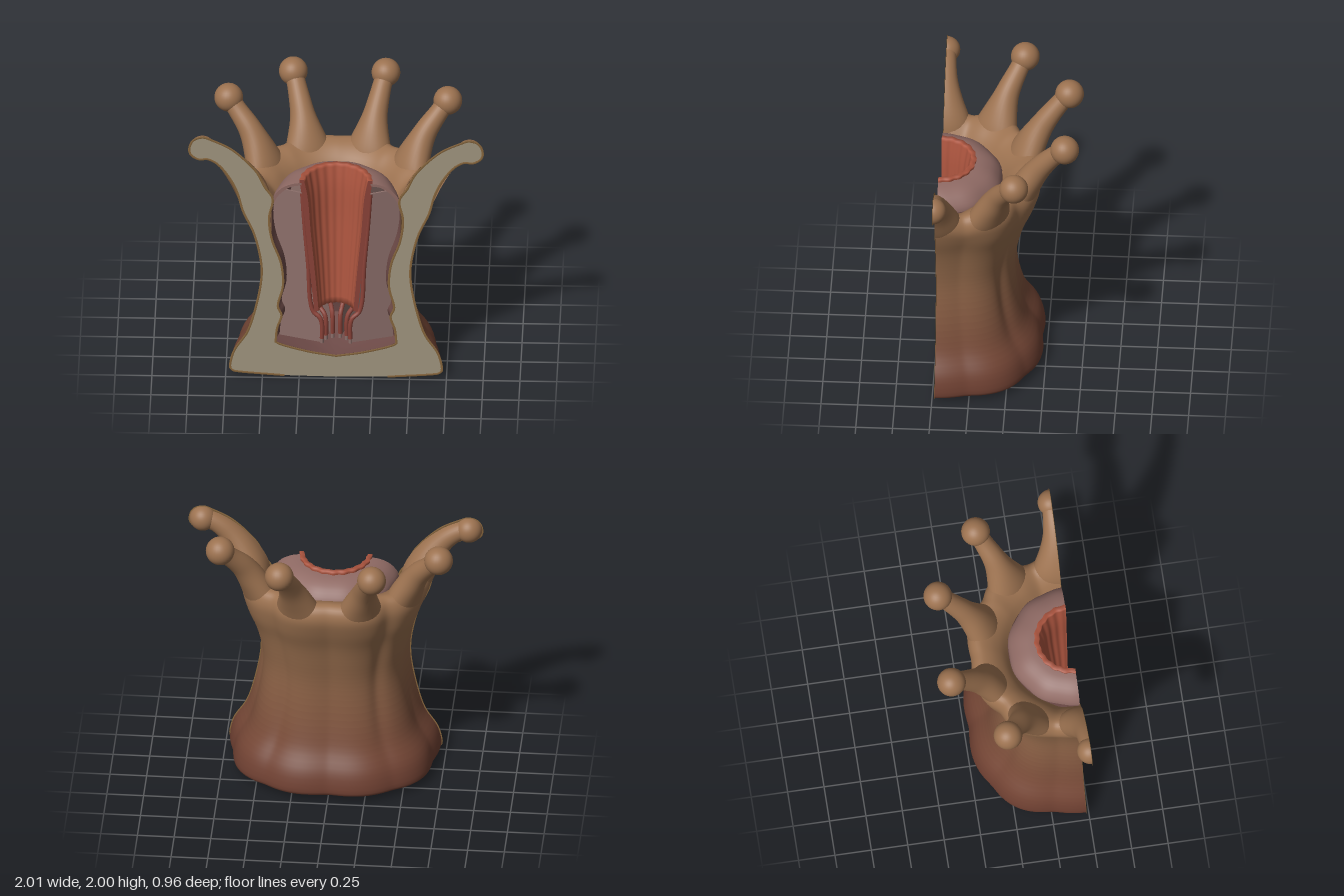
import * as THREE from 'three';
import { mergeVertices } from 'three/addons/utils/BufferGeometryUtils.js';

const { smoothstep, degToRad } = THREE.MathUtils;
const mat = (color) => new THREE.MeshStandardMaterial({ color, side: THREE.DoubleSide });
const SKIN = 0x9c7250, FOOT = 0x6e3f31;
const skin = mat(SKIN), tissue = mat(0xa0957f), rind = mat(0x86653c);
const disc = mat(0x8f6a64), cavity = mat(0x6d4a47), septumMat = mat(0x8d706b);
const red = mat(0xad553f), darkRed = mat(0x8a4238);

function add(parent, name, geo, material) {
  const m = new THREE.Mesh(geo, material);
  m.name = name;
  parent.add(m);
  return m;
}

const spline = (pts, n) =>
  new THREE.SplineCurve(pts.map((p) => new THREE.Vector2(...p))).getPoints(n);

// Smooth surface from a grid of points: row i of nu, column j of nv
function grid(nu, nv, fn) {
  const pos = [], idx = [];
  for (let i = 0; i <= nu; i++) for (let j = 0; j <= nv; j++) pos.push(...fn(i, j / nv));
  for (let i = 0; i < nu; i++) for (let j = 0; j < nv; j++) {
    const a = i * (nv + 1) + j, b = a + nv + 1;
    idx.push(a, a + 1, b, b, a + 1, b + 1);
  }
  let g = new THREE.BufferGeometry();
  g.setAttribute('position', new THREE.Float32BufferAttribute(pos, 3));
  g.setIndex(idx);
  g = mergeVertices(g, 1e-5);
  g.computeVertexNormals();
  return g;
}

// Half revolution behind the cut plane; warp(r, y, angle) returns a changed [r, y]
const halfTurn = (profile, segs, warp) =>
  grid(profile.length - 1, segs, (i, v) => {
    const a = v * Math.PI, [r, y] = warp(profile[i].x, profile[i].y, a);
    return [r * Math.cos(a), y, -r * Math.sin(a)];
  });

// Tapered arm from [radius from axis, height, thickness] stations, spread sideways at its root
function arm(stations, angle, half) {
  const curve = new THREE.CatmullRomCurve3(stations.map((s) => new THREE.Vector3(...s)));
  const n = 36;
  return grid(n, half ? 14 : 28, (i, v) => {
    const c = curve.getPoint(i / n), t = curve.getTangent(i / n);
    const len = Math.hypot(t.x, t.y), phi = v * Math.PI * (half ? 1 : 2);
    const wide = 1.75 - 0.75 * smoothstep(c.y, 1.35, 1.72);
    const r = c.x + c.z * Math.cos(phi) * t.y / len;
    const y = c.y - c.z * Math.cos(phi) * t.x / len;
    const s = c.z * Math.sin(phi) * wide;
    return [r * Math.cos(angle) - s * Math.sin(angle), y, -r * Math.sin(angle) - s * Math.cos(angle)];
  });
}

export function createModel() {
  const model = new THREE.Group();
  model.name = 'polypCrossSection';
  const body = new THREE.Group();
  body.name = 'body';
  body.position.z = 0.48; // the cut plane passes through the axis
  model.add(body);
  const side = new THREE.Group(); // right half, mirrored at the end
  side.name = 'side';

  // Column: fuller toward the back, with lobes below the tentacles and grooves between
  const outer = [[0.69, 0.035], [0.72, 0.07], [0.69, 0.2], [0.605, 0.34], [0.555, 0.5],
    [0.515, 0.7], [0.505, 0.85], [0.525, 1.0], [0.565, 1.15]];
  const base = [new THREE.Vector2(0, 0), new THREE.Vector2(0.35, 0.006)];
  const wallProfile = [...base, ...spline([...outer, [0.625, 1.3], [0.66, 1.42], [0.645, 1.5],
    [0.595, 1.535], [0.53, 1.515], [0.47, 1.46], [0.425, 1.39]], 60)];
  const wall = halfTurn(wallProfile, 160, (r, y, a) => {
    const rise = smoothstep(y, 1.2, 1.5);
    const lobe = Math.sqrt(Math.cos(5 * a) ** 2 + 0.04) - 1.02;
    const dip = 0.05 * rise * smoothstep(Math.abs(Math.cos(a)), 0.75, 0.94) * -lobe;
    const full = 0.075 * Math.sin(2 * a) ** 2 * (1 - 0.5 * rise)
      + 0.065 * Math.sin(a) ** 2 * smoothstep(y, 0.5, 1.05);
    const groove = 0.025 * smoothstep(y, 0.1, 0.6)
      * Math.exp(-(((Math.min(a, Math.PI - a) - degToRad(54)) / 0.1) ** 2));
    const rim = y > 1.35 ? smoothstep(r, 0.42, 0.6) : 1;
    return [r * (1 + (full + 0.035 * lobe - groove) * rim), y - dip];
  });
  const bands = wallProfile.slice(1).map((p, i) => {
    wall.addGroup(i * 960, 960, i);
    return mat(new THREE.Color(FOOT).lerp(new THREE.Color(SKIN), smoothstep(p.y, 0.05, 1.35)));
  });
  add(body, 'columnWall', wall, bands);

  // Tentacles with round tips, growing out of the lobes
  for (const [deg, dy] of [[36, -0.02], [70, 0]]) {
    const a = degToRad(deg);
    const stations = [[0.48, 1.0, 0.03], [0.525, 1.2, 0.062], [0.585, 1.4, 0.1], [0.655, 1.56, 0.096],
      [0.74, 1.7, 0.08], [0.845, 1.83 + dy, 0.066], [0.9, 1.885 + dy, 0.064]];
    add(side, 'tentacle', arm(stations, a, false), skin);
    add(side, 'tentacleTip', new THREE.SphereGeometry(0.098, 28, 20), skin)
      .position.set(0.92 * Math.cos(a), 1.9 + dy, -0.92 * Math.sin(a));
  }
  const cut = [[0.47, 1.0, 0.03], [0.5, 1.2, 0.062], [0.555, 1.42, 0.108], [0.635, 1.58, 0.1],
    [0.75, 1.72, 0.076], [0.85, 1.785, 0.066], [0.9, 1.795, 0.066]];
  add(side, 'cutTentacle', arm(cut, 0, true), skin);
  add(side, 'cutTentacleTip', new THREE.SphereGeometry(0.09, 28, 20, Math.PI, Math.PI), skin)
    .position.set(0.907, 1.795, 0);

  // Cut face of the thick wall, with a darker rind along its edge
  const inner = [[0.43, 1.4], [0.455, 1.25], [0.435, 1.08], [0.375, 0.9], [0.36, 0.72],
    [0.395, 0.56], [0.37, 0.48], [0.4, 0.38], [0.41, 0.27]];
  const outline = [...base, ...spline([...outer, [0.63, 1.3], [0.67, 1.45], [0.725, 1.57],
    [0.8, 1.67], [0.87, 1.713], [0.93, 1.71], [0.985, 1.745], [0.996, 1.8], [0.97, 1.86],
    [0.91, 1.884], [0.85, 1.866], [0.7, 1.785], [0.55, 1.63], [0.485, 1.5], ...inner], 160),
  new THREE.Vector2(0.2, 0.2), new THREE.Vector2(0, 0.165)];
  add(side, 'cutFace', new THREE.ShapeGeometry(new THREE.Shape(outline)), tissue);
  const edge = new THREE.CatmullRomCurve3(outline.slice(1).map((p) => new THREE.Vector3(p.x, p.y, 0)));
  const rindGeo = new THREE.TubeGeometry(edge, 240, 0.009, 6);
  rindGeo.scale(1, 1, 0.2);
  add(side, 'cutFaceRind', rindGeo, rind);

  // Cavity lining, and the oral disc closing it over the top
  const innerUp = [...inner].reverse();
  const scallop = (r, y, a) => [r * (1 + 0.01 * (Math.cos(10 * a) - 1)), y];
  const liningProfile = [new THREE.Vector2(0, 0.166), new THREE.Vector2(0.2, 0.202),
    ...spline(innerUp, 50)];
  add(body, 'cavityLining', halfTurn(liningProfile, 80, scallop), cavity);
  const discTop = spline([[0.43, 1.38], [0.42, 1.43], [0.37, 1.49], [0.3, 1.525], [0.235, 1.535]], 12);
  const discUnder = spline([[0.235, 1.515], [0.3, 1.505], [0.355, 1.47], [0.4, 1.42], [0.425, 1.36]], 12);
  add(body, 'oralDisc', halfTurn(discTop, 80, scallop), disc);
  add(side, 'oralDiscCut', new THREE.ShapeGeometry(new THREE.Shape([...discTop, ...discUnder])), disc);

  // Gullet: softly fluted funnel hanging from the mouth
  const gullet = [
    ...spline([[0.25, 1.56], [0.228, 1.4], [0.205, 1.15], [0.178, 0.85], [0.148, 0.52]], 20),
    ...spline([[0.118, 0.52], [0.145, 0.85], [0.172, 1.15], [0.19, 1.4], [0.218, 1.56]], 20)];
  gullet.push(gullet[0].clone());
  add(body, 'gullet', halfTurn(gullet, 120, (r, y, a) =>
    [r * (1 + 0.014 * (Math.cos(20 * a) - 1)), y]), red);
  add(side, 'gulletCut', new THREE.ShapeGeometry(new THREE.Shape(gullet)), darkRed);

  // Septa: thin radial plates, each with a filament along its free edge
  const free = [[0.24, 1.42], [0.222, 1.15], [0.197, 0.85], [0.182, 0.57], [0.16, 0.49],
    [0.115, 0.45], [0.1, 0.4], [0.1, 0.29]];
  const plate = new THREE.Shape([
    ...spline(free, 40), new THREE.Vector2(0.1, 0.26),
    ...spline(innerUp.map(([r, y]) => [r - 0.012, y]), 40), new THREE.Vector2(0.38, 1.43)]);
  const plateGeo = new THREE.ExtrudeGeometry(plate, { depth: 0.012, bevelEnabled: false });
  plateGeo.translate(0, 0, -0.006);
  const filament = new THREE.TubeGeometry(new THREE.CatmullRomCurve3(
    free.map(([r, y]) => new THREE.Vector3(r, y, 0))), 60, 0.016, 8);
  const stub = new THREE.CylinderGeometry(0.013, 0.013, 0.05, 8);
  for (const deg of [15, 45, 75]) {
    const a = degToRad(deg);
    add(side, 'septum', plateGeo, septumMat).rotation.y = a;
    add(side, 'septalFilament', filament, darkRed).rotation.y = a;
    add(side, 'filamentEnd', stub, septumMat)
      .position.set(0.1 * Math.cos(a), 0.28, -0.1 * Math.sin(a));
  }

  const mirrored = side.clone();
  mirrored.name = 'mirroredSide';
  mirrored.scale.x = -1;
  body.add(side, mirrored);
  return model;
}
